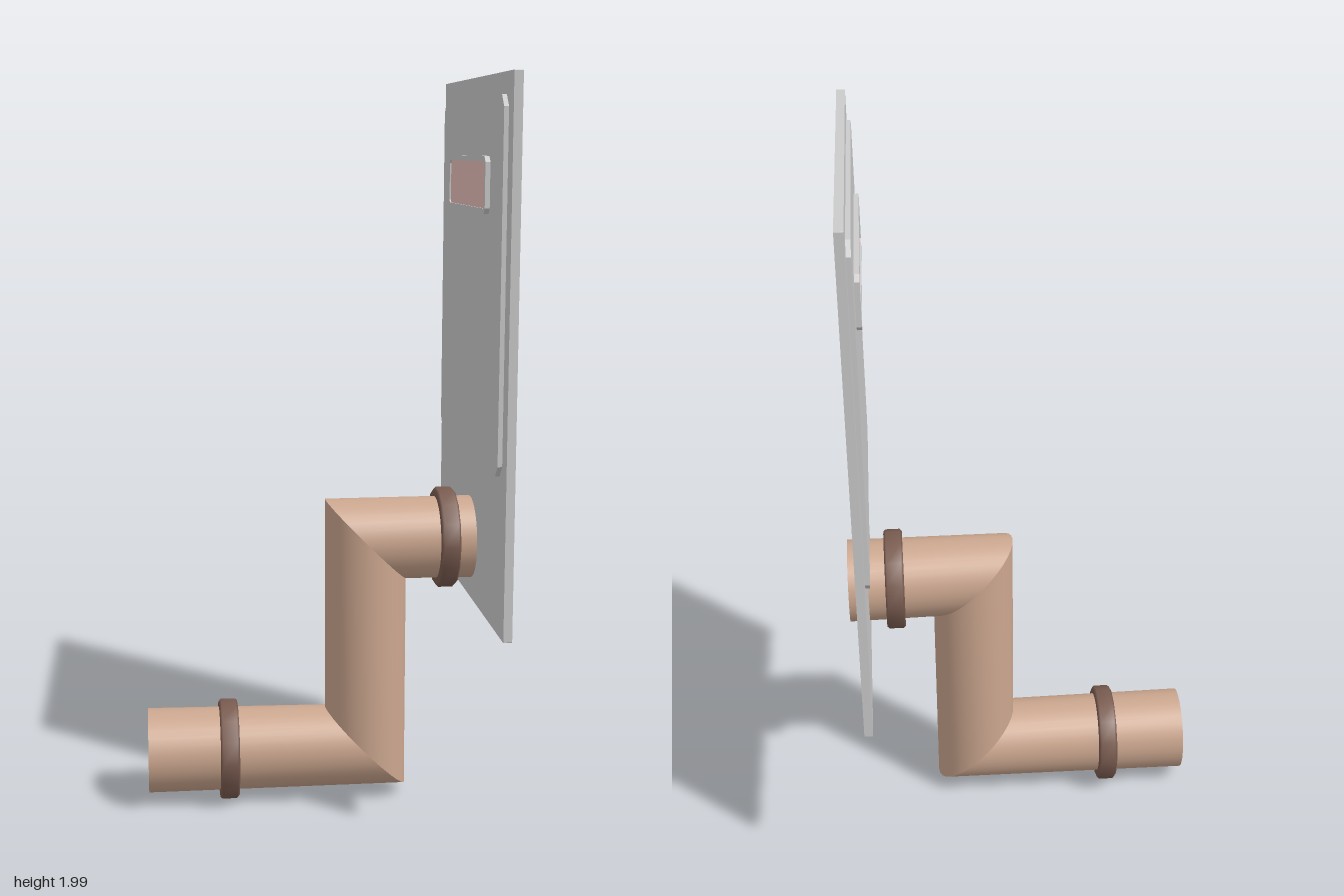
import * as THREE from 'three';

const grey = new THREE.MeshStandardMaterial({ color: 0xcccccc });
const greyThin = new THREE.MeshStandardMaterial({ color: 0xcccccc, side: THREE.DoubleSide, flatShading: true });
const clay = new THREE.MeshStandardMaterial({ color: 0xcca78f, side: THREE.DoubleSide });
const brown = new THREE.MeshStandardMaterial({ color: 0x7a5c50 });
const pink = new THREE.MeshStandardMaterial({ color: 0xe8c0ba });

// Skin closed rings of equal point count
function loft(rings) {
  const n = rings[0].length, pos = rings.flat().flatMap((p) => [p.x, p.y, p.z]), index = [];
  for (let i = 0; i < rings.length - 1; i++) {
    for (let j = 0; j < n; j++) {
      const a = i * n + j, b = i * n + (j + 1) % n;
      index.push(a, b, a + n, b, b + n, a + n);
    }
  }
  const g = new THREE.BufferGeometry();
  g.setAttribute('position', new THREE.Float32BufferAttribute(pos, 3));
  g.setIndex(index);
  g.computeVertexNormals();
  return g;
}

// Rectangle with cut corners: half width w, from y0 to y1, corner c
function cutRect(w, y0, y1, c) {
  return [[-w + c, y0], [w - c, y0], [w, y0 + c], [w, y1 - c], [w - c, y1], [-w + c, y1], [-w, y1 - c], [-w, y0 + c]]
    .map(([u, v]) => new THREE.Vector2(u, v));
}

// Slab standing in the yz plane between x0 and x1
function slab(outline, hole, x0, x1) {
  const s = new THREE.Shape(outline);
  if (hole) s.holes.push(new THREE.Path(hole));
  return new THREE.ExtrudeGeometry(s, { depth: x1 - x0, bevelEnabled: false })
    .rotateY(Math.PI / 2).translate(x0, 0, 0);
}

const atX = (pts, x) => pts.map((p) => new THREE.Vector3(x, p.y, p.x));

export function createModel() {
  const model = new THREE.Group();
  const add = (parent, name, geo, mat) => {
    const m = new THREE.Mesh(geo, mat);
    m.name = name;
    parent.add(m);
    return m;
  };

  // Pressed wall panel
  const panel = new THREE.Group();
  panel.name = 'panel';
  model.add(panel);
  const trayOuter = cutRect(0.425, 0.99, 1.945, 0.03);
  const trayInner = cutRect(0.413, 1.002, 1.933, 0.027);
  const winOuter = cutRect(0.267, 1.648, 1.795, 0.015);
  const winInner = cutRect(0.253, 1.662, 1.781, 0.008);
  add(panel, 'plate', slab(cutRect(0.48, 0.575, 2, 0.001), trayOuter, 0.425, 0.448), grey);
  add(panel, 'tray', slab(trayOuter, winOuter, 0.413, 0.437), grey);
  add(panel, 'trayRim', loft([atX(trayOuter, 0.448), atX(trayInner, 0.437)]), greyThin);
  add(panel, 'windowFrame', slab(winOuter, winInner, 0.4, 0.424), grey);
  add(panel, 'windowRim', loft([atX(winOuter, 0.437), atX(winInner, 0.424)]), greyThin);
  add(panel, 'windowPane', slab(winInner, null, 0.404, 0.421), pink);

  // Pipe with two mitred elbows
  const pipe = new THREE.Group();
  pipe.name = 'pipe';
  model.add(pipe);
  const N = 32, lowY = 0.147, highY = 0.744, midX = 0.131;
  const circle = (fn) => Array.from({ length: N }, (_, i) => {
    const a = (i / N) * Math.PI * 2;
    return new THREE.Vector3(...fn(Math.cos(a), Math.sin(a)));
  });
  const straight = (x, y, r) => circle((c, s) => [x, y + c * r, s * r]);
  // Elbow ring lies on the 45 degree mitre plane
  const mitre = (y) => circle((c, s) => [midX - c * 0.113, y + c * 0.113, 0.002 + s * 0.112]);
  const lowElbow = mitre(lowY), highElbow = mitre(highY);
  add(pipe, 'lowerPipe', loft([straight(-0.48, lowY, 0.117), lowElbow]), clay);
  add(pipe, 'uprightPipe', loft([lowElbow, highElbow]), clay);
  add(pipe, 'upperPipe', loft([highElbow, straight(0.48, highY, 0.115)]), clay);

  // Thick lip and bore of the open lower end
  add(pipe, 'lowerLip', loft([straight(-0.48, lowY, 0.117), straight(-0.48, lowY, 0.095)]), clay);
  add(pipe, 'lowerBore', loft([straight(-0.48, lowY, 0.095), straight(0.03, lowY, 0.095)]), clay);

  // Collars around both horizontal runs
  const profile = [[0.105, -0.026], [0.134, -0.026], [0.14, -0.02], [0.14, 0.02], [0.134, 0.026], [0.105, 0.026]]
    .map(([r, h]) => new THREE.Vector2(r, h));
  for (const [name, x, y] of [['lowerCollar', -0.255, lowY - 0.003], ['upperCollar', 0.352, highY]]) {
    const collar = add(pipe, name, new THREE.LatheGeometry(profile, 14), brown);
    collar.rotation.z = -Math.PI / 2;
    collar.position.set(x, y, 0);
  }
  return model;
}
